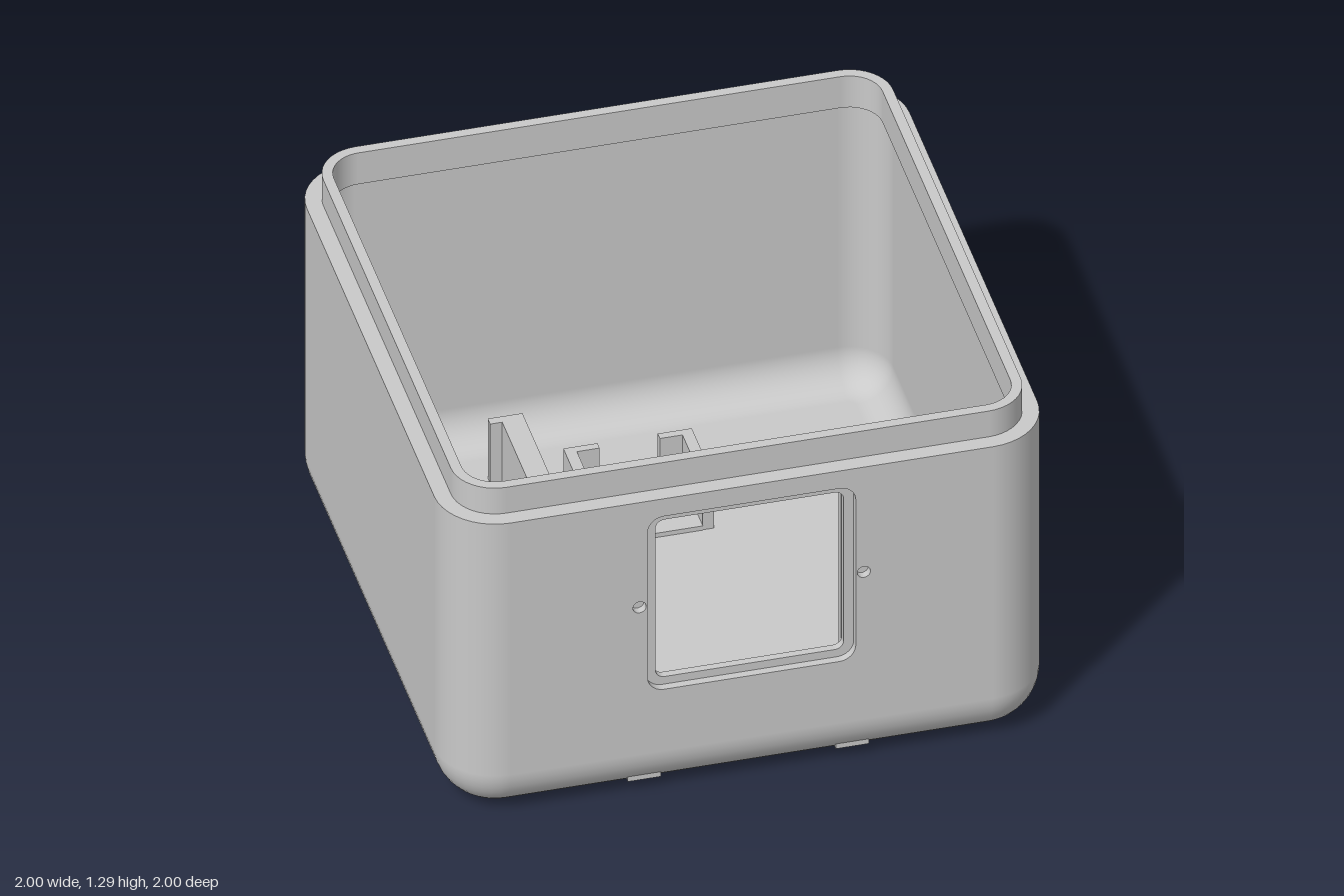
import * as THREE from 'three';

const N = 10; // segments per rounded corner
const HALF = 0.8, R = 0.2; // corner centre and outer corner radius

// Skin through rounded-square rings; profile rows are [inset, y, outward normal, up normal]
function loft(profile, skipFront = false) {
  const pos = [], nor = [], idx = [], M = 4 * (N + 1);
  for (const [off, y, no, ny] of profile) {
    for (let k = 0; k < 4; k++) {
      const sx = k === 0 || k === 3 ? 1 : -1, sz = k < 2 ? 1 : -1;
      for (let i = 0; i <= N; i++) {
        const t = (k + i / N) * Math.PI / 2, c = Math.cos(t), s = Math.sin(t);
        pos.push(sx * HALF + (R - off) * c, y, sz * HALF + (R - off) * s);
        nor.push(c * no, ny, s * no);
      }
    }
  }
  for (let r = 0; r < profile.length - 1; r++) {
    for (let j = 0; j < M; j++) {
      if (skipFront && j === N) continue;
      const a = r * M + j, b = r * M + (j + 1) % M;
      idx.push(a, a + M, b, b, a + M, b + M);
    }
  }
  const g = new THREE.BufferGeometry();
  g.setAttribute('position', new THREE.Float32BufferAttribute(pos, 3));
  g.setAttribute('normal', new THREE.Float32BufferAttribute(nor, 3));
  g.setIndex(idx);
  return g;
}

// Rounded rectangle outline
function rounded(x0, y0, x1, y1, r, S = THREE.Shape) {
  const p = new S();
  p.absarc(x1 - r, y0 + r, r, -Math.PI / 2, 0, false);
  p.absarc(x1 - r, y1 - r, r, 0, Math.PI / 2, false);
  p.absarc(x0 + r, y1 - r, r, Math.PI / 2, Math.PI, false);
  p.absarc(x0 + r, y0 + r, r, Math.PI, Math.PI * 1.5, false);
  p.closePath();
  return p;
}

const circle = (x, y, r, S = THREE.Path) => new S().absarc(x, y, r, 0, Math.PI * 2, false);

function extrude(shape, depth) {
  return new THREE.ExtrudeGeometry(shape, { depth, bevelEnabled: false, curveSegments: 12 });
}

// Upright prism from a plan shape drawn in (x, -z)
function upright(shape, y0, y1) {
  return extrude(shape, y1 - y0).rotateX(-Math.PI / 2).translate(0, y0, 0);
}

// Plan polygon from [x, z] pairs, optionally mirrored about x = cx
function plan(points, cx = 0, side = 1) {
  return new THREE.Shape(points.map(([x, z]) => new THREE.Vector2(cx + side * x, -z)));
}

export function createModel() {
  const group = new THREE.Group();
  const grey = new THREE.MeshStandardMaterial({ color: 0xc9c9c9 });
  grey.name = 'plain grey';
  const add = (name, geometry) => {
    const m = new THREE.Mesh(geometry, grey);
    m.name = name;
    group.add(m);
  };

  const fillet = 0.18, wall = 0.053; // the floor is as thick as the wall
  const ledgeY = 1.187, rimY = 1.29, lipOut = 0.055, lipIn = 0.09, lipBottom = 1.165;

  // Filleted lower edge, inside and out
  const outerFillet = [], innerFillet = [], ri = fillet - wall;
  for (let i = 0; i <= 10; i++) {
    const a = i / 10 * Math.PI / 2, s = Math.sin(a), c = Math.cos(a);
    outerFillet.push([fillet - fillet * s, fillet - fillet * c, s, -c]);
    innerFillet.push([fillet - ri * c, fillet - ri * s, -c, s]);
  }
  add('outerBottomEdge', loft(outerFillet));
  add('innerBottomEdge', loft(innerFillet));

  // Walls, left open where the front panel goes
  add('outerWall', loft([[0, fillet, 1, 0], [0, ledgeY, 1, 0]], true));
  add('innerWall', loft([[wall, lipBottom, -1, 0], [wall, fillet, -1, 0]], true));

  // Ledge and raised lip, which overhangs the inner wall
  add('ledge', loft([[0, ledgeY, 0, 1], [lipOut, ledgeY, 0, 1]]));
  add('lipOuter', loft([[lipOut, ledgeY, 1, 0], [lipOut, rimY, 1, 0]]));
  add('lipRim', loft([[lipOut, rimY, 0, 1], [lipIn, rimY, 0, 1]]));
  add('lipInner', loft([[lipIn, rimY, -1, 0], [lipIn, lipBottom, -1, 0]]));
  add('lipUnderside', loft([[lipIn, lipBottom, 0, -1], [wall, lipBottom, 0, -1]]));

  // Front panel: shallow recess around a window, with a blind screw hole each side
  const panel = () => new THREE.Shape([[-HALF, fillet], [HALF, fillet], [HALF, ledgeY], [-HALF, ledgeY]]
    .map(([x, y]) => new THREE.Vector2(x, y)));
  const face = panel();
  face.holes.push(rounded(-0.345, 0.425, 0.345, 1.117, 0.055, THREE.Path),
    circle(-0.372, 0.768, 0.022), circle(0.372, 0.768, 0.022));
  add('frontPanelFace', extrude(face, 0.027).translate(0, 0, 0.973));
  const back = panel();
  back.holes.push(rounded(-0.312, 0.455, 0.312, 1.083, 0.03, THREE.Path));
  add('frontPanelBack', extrude(back, 0.973 - (1 - wall)).translate(0, 0, 1 - wall));

  // Floor: vents go through; the round recess and screw holes are blind
  const vents = () => {
    const list = [];
    for (const [row, count] of [[-1, 2], [0, 3], [1, 2]]) {
      for (let i = 0; i < count; i++) {
        list.push(circle(-0.53 + (i - (count - 1) / 2) * 0.071, 0.5 + row * 0.061, 0.022));
      }
    }
    return list;
  };
  const under = rounded(-0.82, -0.82, 0.82, 0.82, 0.02);
  under.holes.push(...vents(), circle(0, 0.37, 0.145));
  for (const x of [-0.63, -0.47, 0.47, 0.63]) under.holes.push(circle(x, -0.16, 0.018));
  add('floorUnderside', upright(under, 0, 0.018));
  const top = rounded(-0.82, -0.82, 0.82, 0.82, 0.02);
  top.holes.push(...vents());
  add('floorTop', upright(top, 0.018, wall));
  const step = circle(0, 0.37, 0.145, THREE.Shape);
  step.holes.push(circle(0, 0.37, 0.122));
  add('recessStep', upright(step, 0.01, 0.018));

  for (const side of [-1, 1]) {
    // Slotted posts beside the window, on wider feet that reach through the lower edge
    add('windowPost', upright(plan([[0.40, 0.84], [0.33, 0.84], [0.33, 0.87],
      [0.365, 0.87], [0.365, 0.95], [0.40, 0.95]], 0, side), 0.12, lipBottom));
    add('windowPostFoot', upright(plan([[0.29, 0.84], [0.29, 0.957], [0.40, 0.957], [0.40, 0.84]], 0, side),
      0.045, 0.12));

    // Angled holders around the vents
    add('ventBracket', upright(plan([[0.15, -0.378], [0.225, -0.378], [0.225, -0.722],
      [0.11, -0.722], [0.11, -0.692], [0.15, -0.692]], -0.53, side), 0.04, 0.29));

    // Corner clips above the round recess
    add('recessClip', upright(plan([[0.175, -0.277], [0.213, -0.277], [0.213, -0.557],
      [0.1, -0.557], [0.1, -0.53], [0.175, -0.53]], 0, side), 0.04, 0.25));
  }

  // Low pad between the clips
  add('clipPad', upright(plan([[-0.175, -0.53], [0.175, -0.53], [0.175, -0.275], [-0.175, -0.275]]), 0.04, 0.07));

  return group;
}
